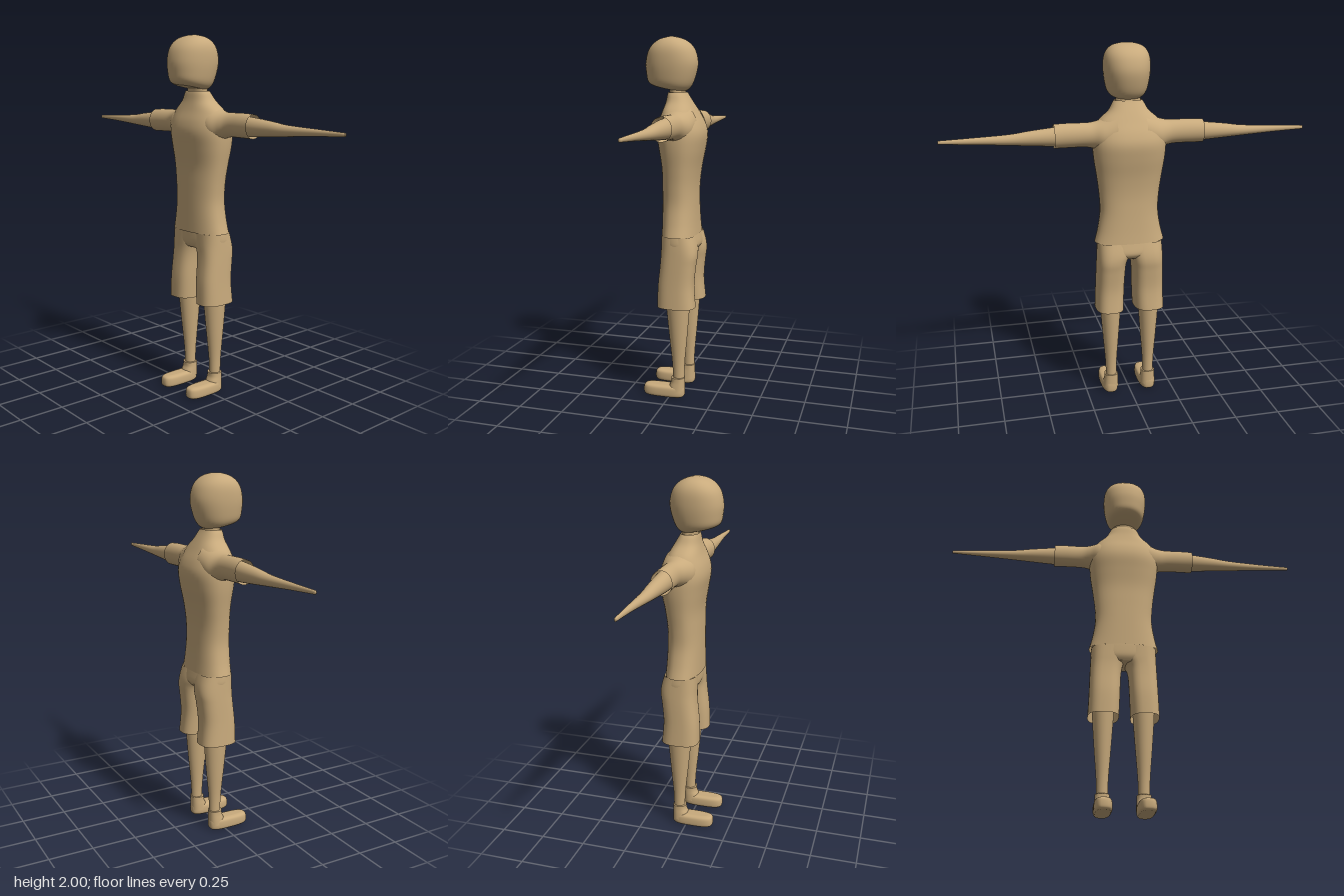
import * as THREE from 'three';

const material = new THREE.MeshStandardMaterial({ color: 0xc8aa7c, side: THREE.DoubleSide });
const SIDES = 36, STEPS = 5;

const spline = (a, b, c, d, t) =>
  0.5 * (2 * b + (c - a) * t + (2 * a - 5 * b + 4 * c - d) * t * t + (3 * b - a - 3 * c + d) * t ** 3);

// Smooth skin over rounded cross-sections.
// Section along y: [y, xMin, xMax, zMin, zMax, tilt]; along x: [x, yMin, yMax, zMin, zMax].
function loft(name, sections, { axis = 'y', side = 1, power = 2, capStart = false, capEnd = false } = {}) {
  const rows = [];
  const last = sections.length - 1;
  for (let i = 0; i < last; i++) {
    const p = [i - 1, i, i + 1, i + 2].map((k) => sections[Math.min(last, Math.max(0, k))]);
    for (let j = 0; j < STEPS; j++) {
      rows.push(p[1].map((_, k) => spline(p[0][k], p[1][k], p[2][k], p[3][k], j / STEPS)));
    }
  }
  rows.push(sections[last]);

  const pos = [], index = [];
  const put = (t, a, b) => (axis === 'y' ? pos.push(a * side, t, b) : pos.push(t * side, a, b));
  const flip = (axis === 'x') !== (side < 0);
  const tri = (a, b, c) => (flip ? index.push(a, c, b) : index.push(a, b, c));
  const round = (v) => Math.sign(v) * Math.abs(v) ** (2 / power);

  rows.forEach(([t, a0, a1, b0, b1, tilt = 0], r) => {
    for (let i = 0; i < SIDES; i++) {
      const angle = (i / SIDES) * Math.PI * 2;
      const a = (a0 + a1) / 2 + ((a1 - a0) / 2) * round(Math.cos(angle));
      const db = ((b1 - b0) / 2) * round(Math.sin(angle));
      put(t + tilt * db, a, (b0 + b1) / 2 + db);
      if (r === 0) continue;
      const n = (i + 1) % SIDES, lo = (r - 1) * SIDES, hi = r * SIDES;
      tri(lo + i, hi + i, lo + n);
      tri(lo + n, hi + i, hi + n);
    }
  });
  const cap = (r, start) => {
    const [t, a0, a1, b0, b1] = rows[r];
    const centre = pos.length / 3;
    put(t, (a0 + a1) / 2, (b0 + b1) / 2);
    for (let i = 0; i < SIDES; i++) {
      const p = r * SIDES + i, q = r * SIDES + ((i + 1) % SIDES);
      start ? tri(centre, p, q) : tri(centre, q, p);
    }
  };
  if (capStart) cap(0, true);
  if (capEnd) cap(rows.length - 1, false);

  const geometry = new THREE.BufferGeometry();
  geometry.setAttribute('position', new THREE.Float32BufferAttribute(pos, 3));
  geometry.setIndex(index);
  geometry.computeVertexNormals();
  const mesh = new THREE.Mesh(geometry, material);
  mesh.name = name;
  return mesh;
}

// Section symmetric about x = 0.
const mid = (y, rx, z0, z1, tilt = 0) => [y, -rx, rx, z0, z1, tilt];

export function createModel() {
  const model = new THREE.Group();
  model.name = 'figure';

  // Head, with the underside rising towards the chin
  model.add(loft('head', [
    mid(1.722, 0.03, 0.01, 0.07, 0.2),
    mid(1.726, 0.08, -0.045, 0.128, 0.2),
    mid(1.75, 0.105, -0.083, 0.153, 0.12),
    mid(1.8, 0.118, -0.108, 0.162, 0.04),
    mid(1.86, 0.125, -0.12, 0.165),
    mid(1.92, 0.123, -0.108, 0.152),
    mid(1.96, 0.108, -0.082, 0.125),
    mid(1.987, 0.078, -0.042, 0.085),
    mid(2.0, 0.03, 0.003, 0.04),
  ], { power: 2.2, capStart: true, capEnd: true }));

  model.add(loft('neck', [
    mid(1.62, 0.075, -0.065, 0.035),
    mid(1.7, 0.068, -0.053, 0.03),
    mid(1.77, 0.068, -0.05, 0.05),
  ]));

  // Shirt body, open at collar and hem
  model.add(loft('shirtBody', [
    mid(0.93, 0.195, -0.135, 0.06),
    mid(1.0, 0.177, -0.13, 0.06),
    mid(1.1, 0.162, -0.126, 0.06),
    mid(1.2, 0.167, -0.126, 0.06),
    mid(1.3, 0.18, -0.137, 0.062),
    mid(1.4, 0.195, -0.157, 0.077),
    mid(1.48, 0.2, -0.167, 0.09),
    mid(1.54, 0.192, -0.152, 0.083),
    mid(1.6, 0.165, -0.12, 0.062),
    mid(1.65, 0.11, -0.092, 0.048),
    mid(1.69, 0.086, -0.068, 0.041),
    mid(1.705, 0.076, -0.06, 0.037),
  ], { power: 2.4 }));

  // Shorts waist
  model.add(loft('shortsWaist', [
    mid(0.96, 0.175, -0.125, 0.05),
    mid(0.92, 0.182, -0.135, 0.052),
    mid(0.87, 0.179, -0.142, 0.05),
    mid(0.84, 0.14, -0.12, 0.035),
  ].reverse(), { power: 2.5, capStart: true }));

  for (const side of [1, -1]) {
    const label = side > 0 ? 'left' : 'right';
    const inner = side > 0 ? 0.04 : 0.025;

    // Sleeve flaring into the shoulder, open at the cuff
    model.add(loft(label + 'Sleeve', [
      [0.08, 1.43, 1.64, -0.14, 0.06],
      [0.15, 1.435, 1.61, -0.13, 0.055],
      [0.2, 1.457, 1.597, -0.108, 0.028],
      [0.25, 1.466, 1.595, -0.1, 0.012],
      [0.34, 1.466, 1.595, -0.098, 0.012],
      [0.408, 1.465, 1.592, -0.098, 0.014],
    ], { axis: 'x', side }));

    // Arm tapering to a point
    model.add(loft(label + 'Arm', [
      [0.34, 1.473, 1.582, -0.09, 0.004],
      [0.42, 1.477, 1.575, -0.088, 0.002],
      [0.54, 1.485, 1.562, -0.08, -0.007],
      [0.64, 1.492, 1.549, -0.073, -0.016],
      [0.82, 1.504, 1.54, -0.063, -0.031],
      [1.0, 1.513, 1.532, -0.053, -0.039],
    ], { axis: 'x', side, capEnd: true }));

    // Shorts leg, open at the hem
    model.add(loft(label + 'ShortsLeg', [
      [0.53, inner, 0.195, -0.143, 0.068],
      [0.65, inner - 0.005, 0.19, -0.133, 0.065],
      [0.76, inner - 0.01, 0.187, -0.142, 0.054],
      [0.82, inner - 0.018, 0.185, -0.15, 0.05],
      [0.87, -0.005, 0.183, -0.146, 0.05],
      [0.93, -0.02, 0.18, -0.13, 0.05],
    ], { side, power: 2.7 }));

    model.add(loft(label + 'Leg', [
      [0.09, 0.08, 0.14, -0.08, -0.017],
      [0.2, 0.077, 0.143, -0.083, -0.012],
      [0.36, 0.065, 0.156, -0.097, 0.005],
      [0.53, 0.053, 0.168, -0.11, 0.022],
      [0.62, 0.05, 0.17, -0.112, 0.028],
    ], { side, capEnd: true }));

    // Shoe: low rounded sole and an ankle collar
    model.add(loft(label + 'Shoe', [
      [0.0, 0.074, 0.15, -0.075, 0.143],
      [0.012, 0.065, 0.159, -0.083, 0.154],
      [0.045, 0.065, 0.159, -0.084, 0.154],
      [0.06, 0.072, 0.152, -0.08, 0.146],
      [0.066, 0.088, 0.136, -0.065, 0.125],
    ], { side, power: 3, capStart: true, capEnd: true }));
    model.add(loft(label + 'ShoeCollar', [
      [0.03, 0.066, 0.156, -0.083, 0.015],
      [0.065, 0.068, 0.152, -0.083, 0.003],
      [0.09, 0.07, 0.149, -0.083, -0.007],
      [0.115, 0.071, 0.148, -0.083, -0.008],
    ], { side, power: 2.4, capEnd: true }));
  }
  return model;
}
